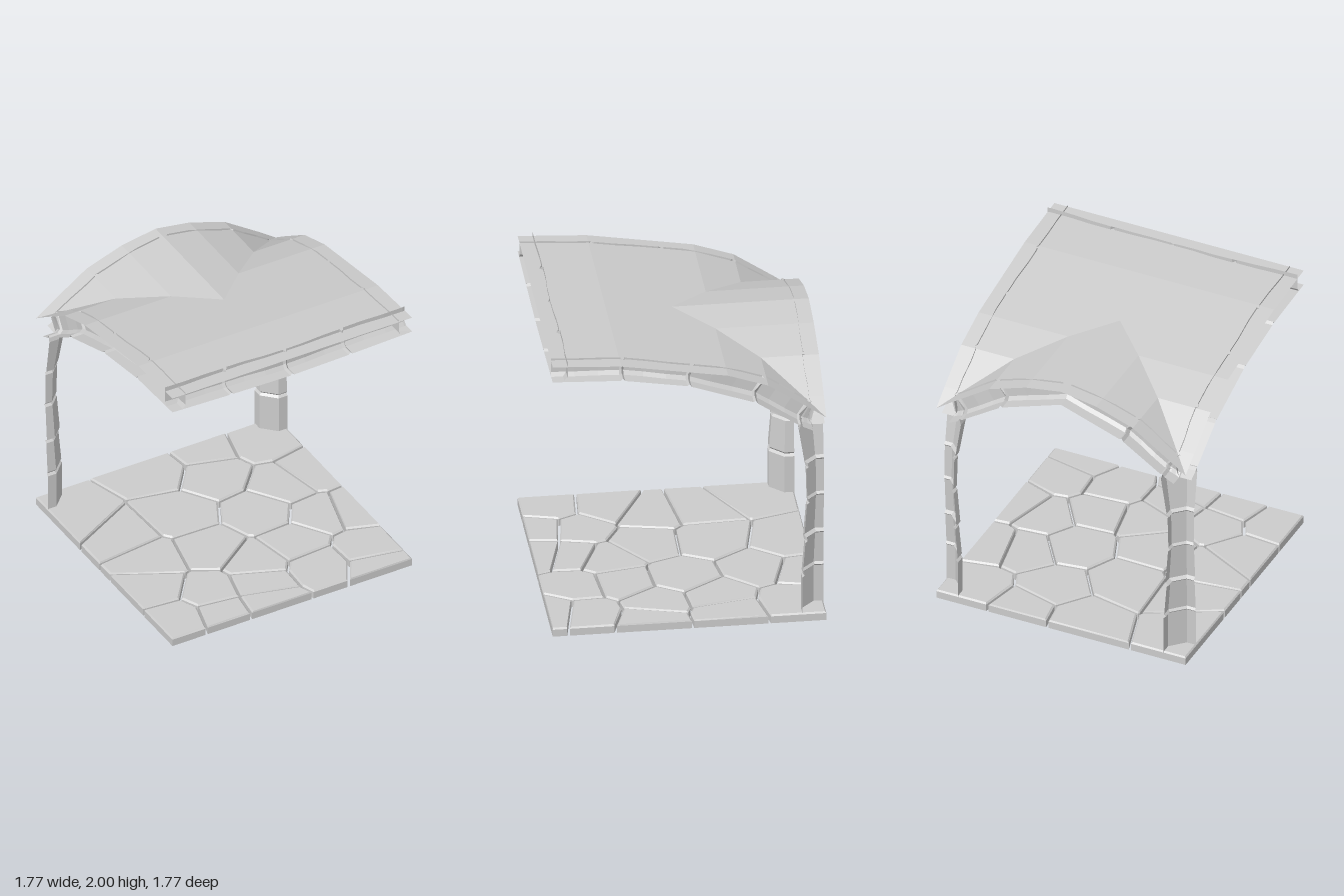
import * as THREE from 'three';

const E = 0.885; // half width of the bay
const material = new THREE.MeshStandardMaterial({ color: 0xcccccc, flatShading: true, side: THREE.DoubleSide });
const V = (x, y, z) => new THREE.Vector3(x, y, z);

function toMesh(name, positions) {
  const geometry = new THREE.BufferGeometry();
  geometry.setAttribute('position', new THREE.Float32BufferAttribute(positions, 3));
  geometry.computeVertexNormals();
  const mesh = new THREE.Mesh(geometry, material);
  mesh.name = name;
  return mesh;
}

// Joins rows of points into a faceted sheet; flip reverses the winding
function sheet(name, rows, flip = false, turnDiagonal = () => false) {
  const out = [];
  const tri = (a, b, c) => (flip ? [a, c, b] : [a, b, c]).forEach((p) => out.push(p.x, p.y, p.z));
  for (let i = 0; i < rows.length - 1; i++) {
    for (let j = 0; j < rows[i].length - 1; j++) {
      const a = rows[i][j], b = rows[i + 1][j], c = rows[i + 1][j + 1], d = rows[i][j + 1];
      if (turnDiagonal(a, c)) { tri(a, b, d); tri(b, c, d); } else { tri(a, b, c); tri(a, c, d); }
    }
  }
  return toMesh(name, out);
}

// Height of the vault along its curve, from the springing to the crown
const CURVE = [[-E, 1.48], [-0.76, 1.57], [-0.51, 1.74], [-0.25, 1.83], [0, 1.872], [0.44, 1.945], [E, 1.97]];
function vaultHeight(t) {
  let i = 0;
  while (i < CURVE.length - 2 && t > CURVE[i + 1][0]) i++;
  const [t0, y0] = CURVE[i], [t1, y1] = CURVE[i + 1];
  return y0 + ((y1 - y0) * (t - t0)) / (t1 - t0);
}

// Thin groin vault: a half barrel crossed by a second one at the back
function makeRoof() {
  const zs = CURVE.map((c) => c[0]);
  const xs = [-E, -0.76, -0.51, -0.25, 0, 0.25, 0.51, 0.76, E];
  const rows = zs.map((z) => xs.map((x) => V(x, vaultHeight(Math.max(z, -Math.abs(x))), z)));
  return sheet('vaultRoof', rows, false, (a, c) => a.x + c.x > 0);
}

// Rib stations: underside t, underside y, t at the top of the wall
const RIB = [[E, 1.86, E], [0.43, 1.84, 0.42], [0, 1.77, -0.03], [-0.43, 1.62, -0.5], [-0.72, 1.43, -0.79], [-0.8, 1.39, -0.83]];

// Rib shell: inner wall, small chamfer and underside, with grooves at the joints
function makeRib(name, stations, top, place) {
  const rows = [];
  const add = (tb, yb, tt, groove, w) => {
    const inset = 0.1 + w - groove;
    rows.push([
      place(tt, top(tt) - groove, inset),
      place(tb, yb + 0.025 + groove, inset),
      place(tb, yb + groove, inset - 0.02),
      place(tb, yb + groove, 0),
    ]);
  };
  for (let i = 0; i < stations.length - 1; i++) {
    const a = stations[i], b = stations[i + 1], n = b[0] - a[0];
    const w = i % 2 ? 0.006 : -0.004;
    const at = (k) => a.map((v, j) => v + (b[j] - v) * k);
    const k = 0.014 / Math.abs(n);
    if (i > 0) add(...a, 0.015, 0);
    for (const f of [i ? k : 0, 0.33, 0.67, 1 - k]) add(...at(f), 0, w * (f < 0.5 ? 1 : -0.5));
  }
  add(...stations[stations.length - 1], 0, 0);
  return sheet(name, rows);
}

// Quarter octagon pier made of tapering blocks
const PIER = [[0.155, 0], [0.155, 0.32], [0.14, 0.335], [0.152, 0.35], [0.135, 0.57], [0.12, 0.585], [0.143, 0.6],
  [0.125, 0.85], [0.11, 0.865], [0.122, 0.88], [0.128, 1.11], [0.115, 1.125], [0.135, 1.14], [0.175, 1.4], [0.165, 1.44]];
function makeColumn(side) {
  const k = Math.SQRT2 - 1;
  const rows = PIER.map(([r, y]) =>
    [[1, 0], [1, k], [k, 1], [0, 1]].map(([u, v]) => V(side * (E - u * r), y, -E + v * r)));
  return sheet(side > 0 ? 'leftColumn' : 'rightColumn', rows, side > 0);
}

// Keeps the part of a polygon on the near side of a line
function clip(poly, nx, nz, limit) {
  const out = [];
  poly.forEach((p, i) => {
    const q = poly[(i + 1) % poly.length];
    const dp = p[0] * nx + p[1] * nz - limit, dq = q[0] * nx + q[1] * nz - limit;
    if (dp <= 0) out.push(p);
    if (dp < 0 !== dq < 0) {
      const f = dp / (dp - dq);
      out.push([p[0] + (q[0] - p[0]) * f, p[1] + (q[1] - p[1]) * f]);
    }
  });
  return out;
}

// Flagstone centres (x, z)
const STONES = [[-0.77, -0.56], [-0.08, -0.76], [-0.18, -0.27], [0.22, -0.53], [0.3, -0.81], [-0.57, 0.07], [-0.61, -0.25],
  [0.29, -0.03], [0.57, -0.22], [0.69, -0.72], [0.78, -0.26], [-0.19, 0.15], [-0.42, 0.56], [-0.74, 0.71], [-0.71, 0.34],
  [-0.09, 0.64], [-0.14, 0.83], [0, 0.42], [0.32, 0.36], [0.61, 0.17], [0.34, 0.66], [0.69, 0.64], [0.65, 0.84],
  [0.83, 0.23], [-0.45, 0.79]];

// Paving of irregular stones, open underneath
function makeFloor() {
  const floor = new THREE.Group();
  floor.name = 'floor';
  for (const s of STONES) {
    let poly = [[-E, -E], [-E, E], [E, E], [E, -E]];
    for (const o of STONES) {
      if (o === s) continue;
      const dx = o[0] - s[0], dz = o[1] - s[1], d = Math.hypot(dx, dz), nx = dx / d, nz = dz / d;
      const mid = ((o[0] + s[0]) * nx + (o[1] + s[1]) * nz) / 2;
      poly = clip(poly, nx, nz, mid - 0.008);
    }
    const cx = poly.reduce((t, p) => t + p[0], 0) / poly.length;
    const cz = poly.reduce((t, p) => t + p[1], 0) / poly.length;
    const ring = (y, inset) => [...poly, poly[0]].map(([x, z]) => {
      const f = inset === 1 ? 0 : 1 - inset / Math.hypot(x - cx, z - cz);
      return V(cx + (x - cx) * f, y, cz + (z - cz) * f);
    });
    floor.add(sheet('flagstone', [ring(0, 0), ring(0.05, 0), ring(0.06, 0.012), ring(0.06, 1)], true));
  }
  return floor;
}

export function createModel() {
  const model = new THREE.Group();
  model.name = 'vaultedBay';
  model.add(makeFloor(), makeRoof());
  const ribTop = (t) => vaultHeight(t) + 0.012;
  for (const side of [1, -1]) {
    const label = side > 0 ? 'left' : 'right';
    model.add(makeColumn(side));
    model.add(makeRib(label + 'SideRib', RIB, ribTop, (t, y, inset) => V(side * (E - inset), y, t)));
    model.add(makeRib(label + 'BackRib', RIB.slice(2), ribTop, (t, y, inset) => V(-side * t, y, -E + inset)));
  }
  // Straight rib along the front edge
  const front = [[-E, 1.86, -E], [-0.45, 1.845, -0.44], [0, 1.835, 0], [0.43, 1.845, 0.42], [E, 1.86, E]];
  model.add(makeRib('frontRib', front, (t) => 1.98 + 0.02 * Math.abs(t), (t, y, inset) => V(t, y, E - inset)));
  return model;
}
